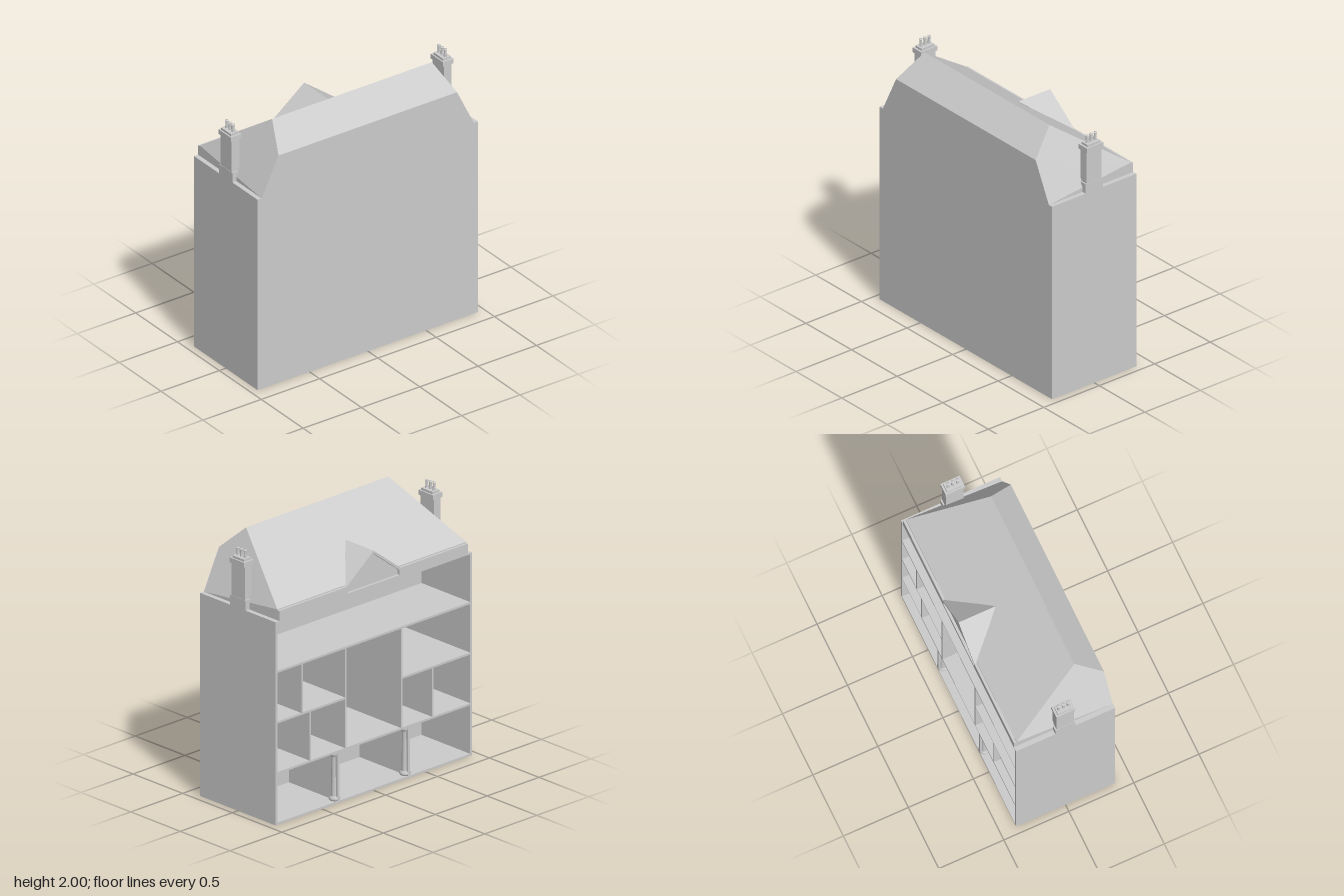
import * as THREE from 'three';
import { ConvexGeometry } from 'three/addons/geometries/ConvexGeometry.js';

const W = 0.945, D = 0.38, EAVE = 1.525, T = 0.016;
const material = new THREE.MeshStandardMaterial({ color: 0xcccccc });
const flat = new THREE.MeshStandardMaterial({ color: 0xcccccc, flatShading: true });

function add(parent, name, geometry, mat = material) {
  const mesh = new THREE.Mesh(geometry, mat);
  mesh.name = name;
  parent.add(mesh);
  return mesh;
}

// Box given by its limits on each axis
function block(parent, name, x0, x1, y0, y1, z0, z1) {
  const mesh = add(parent, name, new THREE.BoxGeometry(x1 - x0, y1 - y0, z1 - z0));
  mesh.position.set((x0 + x1) / 2, (y0 + y1) / 2, (z0 + z1) / 2);
  return mesh;
}

function hull(parent, name, points) {
  return add(parent, name, new ConvexGeometry(points.map(p => new THREE.Vector3(...p))), flat);
}

// Room divider from the open back to the front, with an optional doorway
function partition(parent, x, y0, y1, zFront, door) {
  const x0 = x - T / 2, x1 = x + T / 2;
  if (!door) return block(parent, 'partition', x0, x1, y0, y1, -D, zFront);
  const [d0, d1] = door, top = y0 + 0.23;
  block(parent, 'partition', x0, x1, y0, y1, -D, d0);
  block(parent, 'partition', x0, x1, y0, y1, d1, zFront);
  block(parent, 'doorLintel', x0, x1, top, y1, d0, d1);
}

function createShell() {
  const shell = new THREE.Group();
  shell.name = 'shell';
  block(shell, 'frontWall', -W, W, 0, EAVE, 0.27, D);
  for (const s of [-1, 1]) {
    const a = s * W, b = s * (W - T);
    block(shell, 'sideWall', Math.min(a, b), Math.max(a, b), 0, EAVE, -D, D);
    const c = s * 0.9;
    block(shell, 'wallLedge', Math.min(a, c), Math.max(a, c), EAVE - 0.012, EAVE, -D, D);
  }
  block(shell, 'groundFloor', -W, W, 0, T, -D, D);
  block(shell, 'atticCeiling', -W, W, EAVE - 0.01, EAVE, -D, D);
  return shell;
}

function createRooms() {
  const rooms = new THREE.Group();
  rooms.name = 'rooms';
  const [f1, f2, f3] = [0.38, 0.76, 1.14];
  const inner = 0.28;
  block(rooms, 'firstFloor', -W, W, f1, f1 + T, -D, inner);
  block(rooms, 'atticFloor', -W, W, f3, f3 + T, -D, inner);
  // Second floor leaves the tall middle hall open
  block(rooms, 'secondFloorLeft', 0.27, W, f2, f2 + T, -D, inner);
  block(rooms, 'secondFloorRight', -W, -0.27, f2, f2 + T, -D, inner);
  // Shallower attic and ground floor
  block(rooms, 'atticFrontWall', -W, W, f3, EAVE, 0.11, inner);
  block(rooms, 'groundFrontWall', -W, W, 0, f1, 0.11, inner);
  for (const s of [-1, 1]) {
    partition(rooms, s * 0.27, f1, f3, inner);
    partition(rooms, s * 0.34, 0, f1, inner);
  }
  partition(rooms, 0.61, f1, f2, inner, [0.06, 0.17]);
  partition(rooms, -0.57, f1, f2, inner, [0.07, 0.18]);
  partition(rooms, 0.69, f2, f3, inner, [-0.13, -0.02]);

  // Turned columns at the ends of the ground floor dividers
  const profile = [[0, 0], [0.036, 0], [0.042, 0.012], [0.036, 0.028], [0.024, 0.036],
    [0.022, 0.32], [0.032, 0.335], [0.036, 0.35], [0.034, 0.366], [0, 0.366]]
    .map(p => new THREE.Vector2(...p));
  for (const s of [-1, 1]) {
    const column = add(rooms, 'column', new THREE.LatheGeometry(profile, 20));
    column.position.set(s * 0.34, T, -D + 0.04);
  }
  return rooms;
}

function createRoof() {
  const roof = new THREE.Group();
  roof.name = 'roof';
  const back = -D + 0.02;
  const half = [[0.91, EAVE, D], [0.91, EAVE, back], [0.91, 1.607, back],
    [0.765, 1.82, D], [0.685, 2, 0.19]];
  hull(roof, 'hippedRoof', half.flatMap(([x, y, z]) => [[x, y, z], [-x, y, z]]));

  // Little gable running back into the slope
  hull(roof, 'gable', [[-0.26, 1.6, back], [0.26, 1.6, back], [0, 1.8, back],
    [0, 1.8, -0.095], [0, 1.58, -0.2]]);

  // Fascia board with the recessed pediment
  const outline = pts => pts.map(p => new THREE.Vector2(...p));
  const fascia = new THREE.Shape(outline([[-0.91, EAVE], [0.91, EAVE], [0.91, 1.6],
    [0.26, 1.6], [0, 1.8], [-0.26, 1.6], [-0.91, 1.6]]));
  fascia.holes.push(new THREE.Path(outline([[-0.25, 1.548], [-0.25, 1.585], [0, 1.778],
    [0.25, 1.585], [0.25, 1.548]])));
  const board = new THREE.ExtrudeGeometry(fascia, { depth: 0.02, bevelEnabled: false });
  add(roof, 'fasciaWithPediment', board).position.z = -D;
  return roof;
}

function createChimney(side) {
  const chimney = new THREE.Group();
  chimney.name = side > 0 ? 'leftChimney' : 'rightChimney';
  block(chimney, 'chimneyBase', -0.05, 0.035, EAVE - 0.01, 1.6, -0.078, 0.078);
  block(chimney, 'chimneyShaft', -0.033, 0.033, 1.58, 1.85, -0.068, 0.068);
  block(chimney, 'chimneyCap', -0.045, 0.045, 1.848, 1.885, -0.074, 0.074);
  block(chimney, 'chimneyTop', -0.034, 0.034, 1.885, 1.902, -0.058, 0.058);
  const pot = [[0.011, 0], [0.009, 0.045], [0.013, 0.05], [0.013, 0.058], [0, 0.058]]
    .map(p => new THREE.Vector2(...p));
  for (const z of [-0.037, 0, 0.037]) {
    add(chimney, 'chimneyPot', new THREE.LatheGeometry(pot, 14)).position.set(0, 1.902, z);
  }
  chimney.position.x = side * 0.91;
  if (side < 0) chimney.rotation.y = Math.PI;
  return chimney;
}

export function createModel() {
  const house = new THREE.Group();
  house.name = 'dollhouse';
  house.add(createShell(), createRooms(), createRoof(), createChimney(1), createChimney(-1));
  return house;
}
